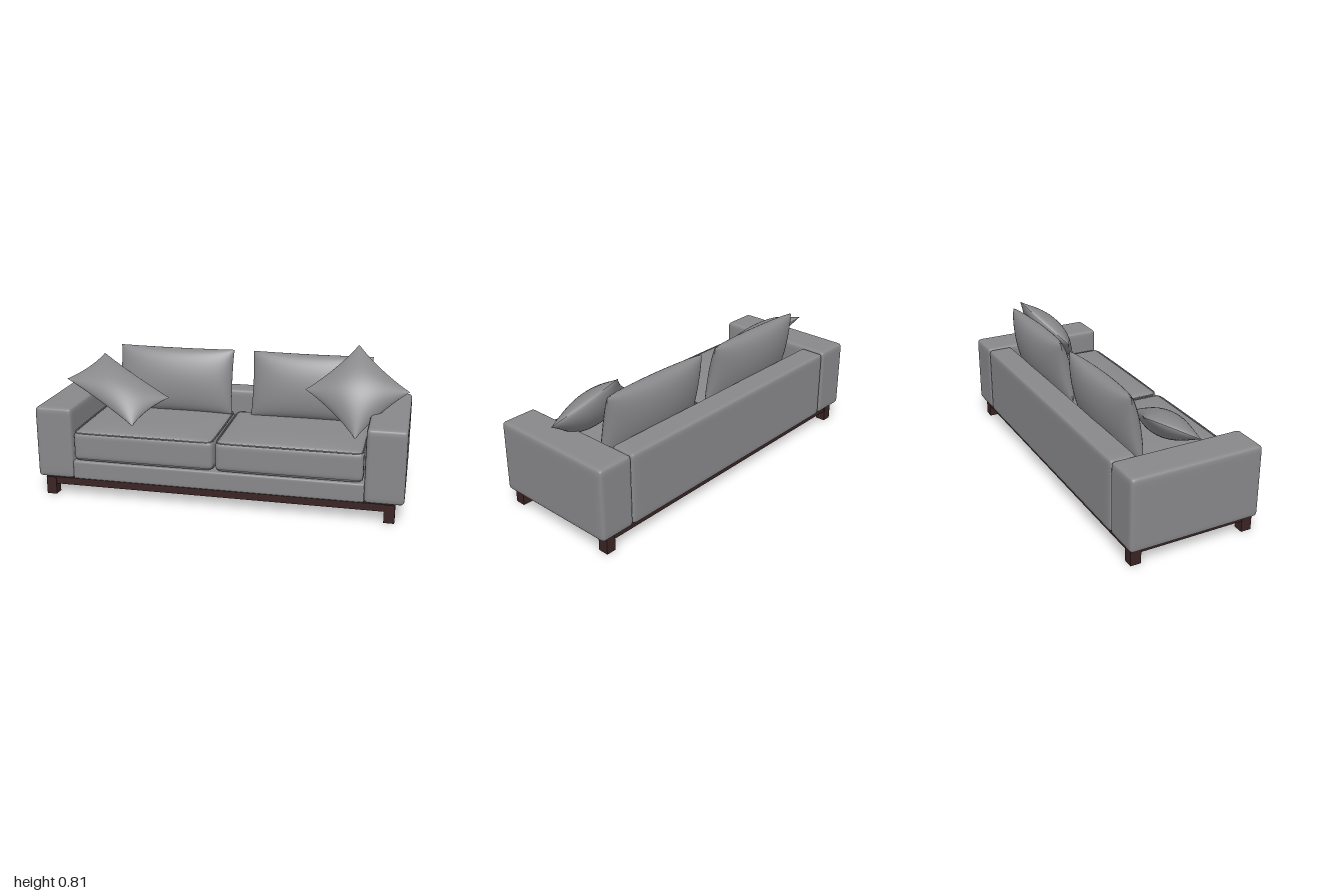
import * as THREE from 'three';
import { mergeGeometries, mergeVertices } from 'three/addons/utils/BufferGeometryUtils.js';

const ease = t => Math.sin(t * Math.PI / 2); // packs grid lines towards the edges

// Upholstered block: rounded edges, optional puffed top
function softBox(w, h, d, r, puff = 0) {
  const g = new THREE.BoxGeometry(2, 2, 2, 24, 16, 24);
  const pos = g.attributes.position;
  const half = new THREE.Vector3(w / 2, h / 2, d / 2);
  const inner = half.clone().subScalar(r);
  const p = new THREE.Vector3(), core = new THREE.Vector3();
  for (let i = 0; i < pos.count; i++) {
    const u = ease(pos.getX(i)), v = ease(pos.getY(i)), s = ease(pos.getZ(i));
    p.set(u, v, s).multiply(half);
    core.copy(p).clamp(inner.clone().negate(), inner);
    p.sub(core).setLength(r).add(core);
    if (v > 0) p.y += puff * v * (1 - u ** 4) * (1 - s ** 4);
    pos.setXYZ(i, p.x, p.y, p.z);
  }
  g.deleteAttribute('normal');
  g.deleteAttribute('uv');
  const merged = mergeVertices(g, 1e-5);
  merged.computeVertexNormals();
  return merged;
}

// Pillow: two bulging faces meeting at a seam, sides drawn in between the corners
function pillow(w, h, thick, power, pinch) {
  const face = new THREE.PlaneGeometry(2, 2, 24, 24);
  const pos = face.attributes.position;
  for (let i = 0; i < pos.count; i++) {
    const u = ease(pos.getX(i)), v = ease(pos.getY(i));
    const a = Math.max(0, 1 - u * u), b = Math.max(0, 1 - v * v);
    pos.setXYZ(i, w / 2 * u * (1 - pinch * b), h / 2 * v * (1 - pinch * a),
      thick / 2 * Math.pow(a * b, power));
  }
  face.computeVertexNormals();
  return mergeGeometries([face, face.clone().rotateY(Math.PI)]);
}

// Closed cord following a rounded rectangle in the horizontal plane
function piping(w, d, r) {
  const pts = [];
  for (let c = 0; c < 4; c++) {
    const sx = c === 0 || c === 3 ? 1 : -1, sz = c < 2 ? 1 : -1;
    for (let k = 0; k <= 4; k++) {
      const t = (c + k / 4) * Math.PI / 2;
      pts.push(new THREE.Vector3(sx * (w / 2 - r) + r * Math.cos(t), 0, sz * (d / 2 - r) + r * Math.sin(t)));
    }
  }
  const curve = new THREE.CatmullRomCurve3(pts, true, 'centripetal');
  return new THREE.TubeGeometry(curve, 120, 0.004, 6, true);
}

export function createModel() {
  const sofa = new THREE.Group();
  sofa.name = 'sofa';
  const fabric = new THREE.MeshStandardMaterial({ color: 0x88888b });
  fabric.name = 'grey fabric';
  const wood = new THREE.MeshStandardMaterial({ color: 0x3a2424 });
  wood.name = 'dark wood';

  const add = (name, geometry, material, x, y, z) => {
    const mesh = new THREE.Mesh(geometry, material);
    mesh.name = name;
    mesh.position.set(x, y, z);
    sofa.add(mesh);
    return mesh;
  };

  // Body
  add('base', softBox(1.59, 0.105, 0.70, 0.012), fabric, 0, 0.1525, 0.008);
  add('backrest', softBox(1.58, 0.397, 0.145, 0.02), fabric, 0, 0.2985, -0.2975);
  for (const s of [1, -1]) {
    const side = s > 0 ? 'left' : 'right';
    add(side + 'Arm', softBox(0.208, 0.40, 0.73, 0.022), fabric, s * 0.896, 0.30, -0.005);

    // Seat cushion with piped top and bottom edges
    add(side + 'SeatCushion', softBox(0.78, 0.165, 0.585, 0.03, 0.018), fabric, s * 0.395, 0.2925, 0.073);
    for (const y of [0.368, 0.218])
      add(side + 'SeatPiping', piping(0.766, 0.571, 0.03), fabric, s * 0.395, y, 0.073);

    // Legs and end rail
    for (const z of [0.327, -0.315])
      add(side + 'Leg', new THREE.BoxGeometry(0.056, 0.1, 0.058), wood, s * 0.927, 0.05, z);
    add(side + 'Rail', new THREE.BoxGeometry(0.036, 0.04, 0.59), wood, s * 0.932, 0.08, 0.006);
  }
  for (const [name, z] of [['frontRail', 0.332], ['backRail', -0.32]])
    add(name, new THREE.BoxGeometry(1.80, 0.04, 0.036), wood, 0, 0.08, z);

  // Back cushions leaning on the backrest
  for (const [name, x] of [['leftBackCushion', 0.442], ['rightBackCushion', -0.345]])
    add(name, pillow(0.675, 0.37, 0.172, 0.42, 0.02), fabric, x, 0.56, -0.165).rotation.x = -0.19;

  // Throw pillows, each set by its centre, width direction and height direction
  const throwPillow = (name, w, h, thick, centre, across, up) => {
    const X = new THREE.Vector3(...across).normalize();
    const Z = X.clone().cross(new THREE.Vector3(...up)).normalize();
    const Y = Z.clone().cross(X);
    add(name, pillow(w, h, thick, 0.6, 0.08), fabric, ...centre)
      .quaternion.setFromRotationMatrix(new THREE.Matrix4().makeBasis(X, Y, Z));
  };
  throwPillow('leftThrowPillow', 0.395, 0.395, 0.16,
    [0.71, 0.595, -0.01], [0.295, -0.21, 0.17], [0.265, 0.21, -0.185]);
  throwPillow('rightThrowPillow', 0.525, 0.295, 0.14,
    [-0.638, 0.537, 0.022], [0.445, -0.19, 0.195], [0.135, 0.10, -0.22]);

  return sofa;
}
